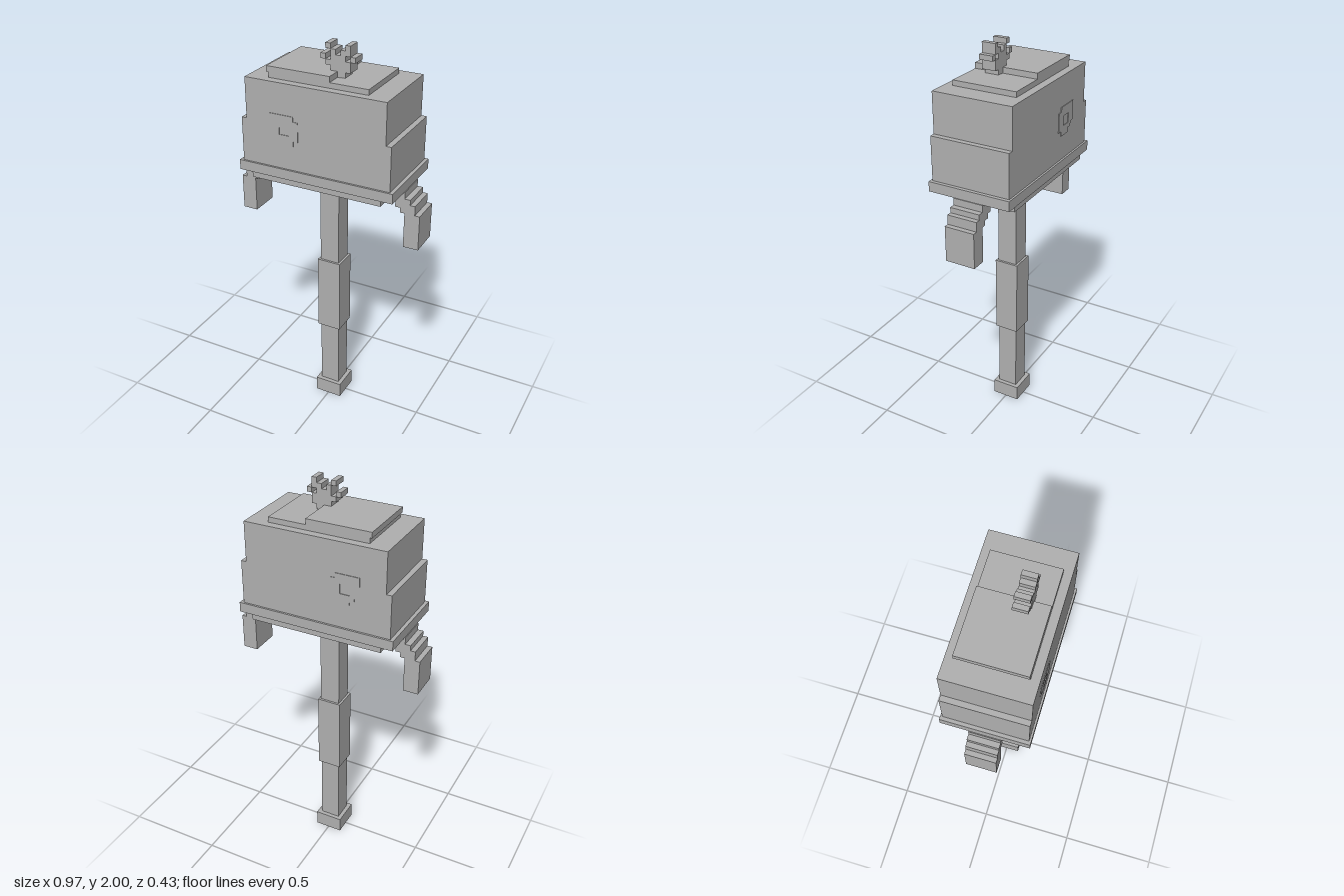
import * as THREE from 'three';

const grey = new THREE.MeshStandardMaterial({ color: 0xb0b0b0 });
grey.name = 'stone grey';

// Box given by its lower and upper limits on each axis
function box(parent, name, [x0, x1], [y0, y1], [z0, z1]) {
  const mesh = new THREE.Mesh(new THREE.BoxGeometry(x1 - x0, y1 - y0, z1 - z0), grey);
  mesh.name = name;
  mesh.position.set((x0 + x1) / 2, (y0 + y1) / 2, (z0 + z1) / 2);
  parent.add(mesh);
  return mesh;
}

// Stepped figure: each run of # in a row becomes one box
function blocks(parent, name, rows, left, top, size, z) {
  const group = new THREE.Group();
  group.name = name;
  rows.forEach((row, r) => {
    for (const run of row.matchAll(/#+/g)) {
      const x = left + run.index * size;
      const y = top - r * size;
      box(group, name + 'Block', [x, x + run[0].length * size], [y - size, y], z);
    }
  });
  parent.add(group);
}

export function createModel() {
  const model = new THREE.Group();
  model.name = 'hammer';

  // Handle
  box(model, 'pommel', [-0.072, 0.072], [0, 0.08], [-0.072, 0.072]);
  box(model, 'shaft', [-0.051, 0.051], [0.08, 1.32], [-0.051, 0.051]);
  box(model, 'grip', [-0.062, 0.062], [0.445, 0.85], [-0.062, 0.062]);

  // Head, from the underside up
  box(model, 'underPlate', [-0.34, 0.34], [1.318, 1.35], [-0.203, 0.203]);
  box(model, 'flange', [-0.403, 0.403], [1.35, 1.4], [-0.213, 0.213]);
  box(model, 'lowerHead', [-0.385, 0.385], [1.4, 1.62], [-0.203, 0.203]);
  box(model, 'upperHead', [-0.358, 0.358], [1.62, 1.822], [-0.203, 0.203]);
  box(model, 'topPlate', [-0.255, 0.252], [1.822, 1.848], [-0.163, 0.162]);
  box(model, 'raisedTopPlate', [-0.265, 0.06], [1.848, 1.876], [-0.163, 0.162]);

  // Stepped arms hanging from both ends
  const steps = [
    [0.32, 0.38, 1.312, 1.35],
    [0.335, 0.407, 1.29, 1.35],
    [0.36, 0.435, 1.265, 1.315],
    [0.385, 0.46, 1.24, 1.288],
    [0.408, 0.485, 1.06, 1.24],
  ];
  for (const side of [1, -1]) {
    const arm = new THREE.Group();
    arm.name = side > 0 ? 'leftArm' : 'rightArm';
    for (const [a, b, y0, y1] of steps) {
      box(arm, 'armStep', side > 0 ? [a, b] : [-b, -a], [y0, y1], [-0.077, 0.077]);
    }
    model.add(arm);
  }

  // Splayed crest on the top
  blocks(model, 'crest', [
    ' #   # ',
    '  # ## ',
    '# ### #',
    ' ##### ',
    '  #### ',
    '   ##  ',
    '   #   ',
  ], -0.026, 2, 0.025, [0.015, 0.085]);

  // Thin stepped rings on both broad faces
  const ring = [
    '##### ',
    '######',
    '##  ##',
    '##  ##',
    ' #####',
    '  ### ',
  ];
  blocks(model, 'frontInlay', ring, -0.23, 1.67, 0.0245, [0.2, 0.206]);
  blocks(model, 'backInlay', ring, -0.23, 1.67, 0.0245, [-0.206, -0.2]);

  return model;
}
